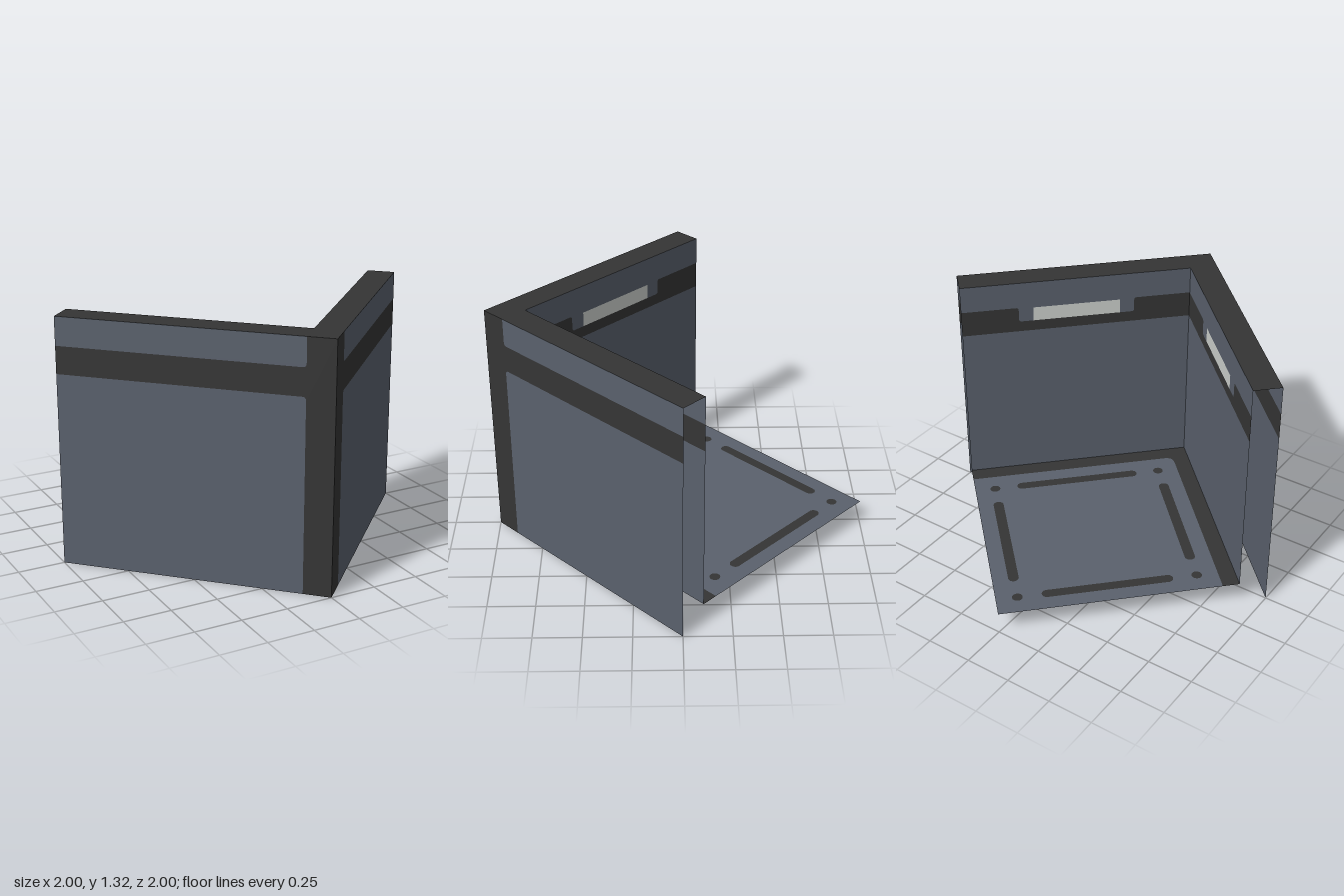
import * as THREE from 'three';

const material = (name, color) =>
  new THREE.MeshStandardMaterial({ name, color, side: THREE.DoubleSide });

const L = Math.SQRT2;   // outer wall length
const T = 0.148;        // wall thickness
const H = 1.315;        // wall height
const FLOOR_Y = 0.12;
const F = L - T;        // floor side
const Q = Math.PI / 4;

// Polygon outline from [x, y, cornerRadius] points
function roundedShape(points, flip = 1) {
  const shape = new THREE.Shape();
  const n = points.length;
  const at = (i) => new THREE.Vector2(points[(i + n) % n][0] * flip, points[(i + n) % n][1]);
  for (let i = 0; i < n; i++) {
    const p = at(i), r = points[i][2] || 0;
    const a = at(i - 1).sub(p).setLength(r).add(p);
    const b = at(i + 1).sub(p).setLength(r).add(p);
    if (i === 0) shape.moveTo(a.x, a.y);
    else shape.lineTo(a.x, a.y);
    if (r) shape.quadraticCurveTo(p.x, p.y, b.x, b.y);
  }
  shape.closePath();
  return shape;
}

const rect = (x0, y0, x1, y1) => [[x0, y0], [x1, y0], [x1, y1], [x0, y1]];

// Round-ended slot; equal ends give a disc
function slotShape(x, y, halfX, halfY, r) {
  const s = new THREE.Shape();
  if (halfX) {
    s.absarc(x + halfX, y, r, -Math.PI / 2, Math.PI / 2, false);
    s.absarc(x - halfX, y, r, Math.PI / 2, Math.PI * 1.5, false);
  } else {
    s.absarc(x, y + halfY, r, 0, Math.PI, false);
    s.absarc(x, y - halfY, r, Math.PI, Math.PI * 2, false);
  }
  s.closePath();
  return s;
}

function addSheet(group, name, shape, mat) {
  const mesh = new THREE.Mesh(new THREE.ShapeGeometry(shape, 10), mat);
  mesh.name = name;
  group.add(mesh);
  return mesh;
}

export function createModel() {
  const slate = material('slate', 0x5a616d);
  const charcoal = material('charcoal', 0x353535);
  const pale = material('pale grey', 0xcdd1cd);
  const model = new THREE.Group();
  model.name = 'cornerWallTile';

  // Stripe levels, corner band width and fillet radius
  const lo = 1.02, hi = 1.165, band = 0.145, r = 0.02;

  for (const side of [1, -1]) {
    const wall = new THREE.Group();
    wall.name = side > 0 ? 'leftWall' : 'rightWall';
    wall.position.z = 1;
    wall.rotation.y = side * Q;
    model.add(wall);

    // Outer sheet: dark corner band and stripe between two panels
    const outer = (name, pts, mat) => addSheet(wall, name, roundedShape(pts, side), mat);
    outer('outerBand', [[0, 0], [band, 0], [band, lo, r], [L, lo], [L, hi],
      [band, hi, r], [band, H], [0, H]], charcoal);
    outer('outerLowerPanel', [[band, 0], [L, 0], [L, lo], [band, lo, r]], slate);
    outer('outerUpperPanel', [[band, hi, r], [L, hi], [L, H], [band, H]], slate);

    // Inner sheet: notched stripe with a light strip
    const inner = (name, pts, mat) => {
      addSheet(wall, name, roundedShape(pts, side), mat).position.z = -T;
    };
    const m = (T + L) / 2, notch = 0.32, lamp = 0.24, dip = 1.08, q = 0.015;
    inner('innerLowerPanel', rect(T, FLOOR_Y, L, lo), slate);
    inner('innerStripe', [[T, lo], [L, lo], [L, hi], [m + notch, hi, q], [m + notch, dip, q],
      [m - notch, dip, q], [m - notch, hi, q], [T, hi]], charcoal);
    inner('lightStrip', rect(m - lamp, dip, m + lamp, hi - 0.005), pale);
    inner('innerUpperPanel', [[T, hi], [m - notch, hi, q], [m - notch, dip, q], [m - lamp, dip],
      [m - lamp, hi - 0.005], [m + lamp, hi - 0.005], [m + lamp, dip], [m + notch, dip, q],
      [m + notch, hi, q], [L, hi], [L, H], [T, H]], slate);
  }

  // Cap joining inner and outer sheets along the top
  const d = T / L, k = T * L;
  const cap = addSheet(model, 'wallCap', roundedShape([[0, -1], [1, 0], [1 - d, d],
    [0, k - 1], [d - 1, d], [-1, 0]]), charcoal);
  cap.rotation.x = -Math.PI / 2;
  cap.position.y = H;

  // Floor, drawn from the inner corner of the walls
  const floor = new THREE.Group();
  floor.name = 'floor';
  floor.rotation.set(-Math.PI / 2, 0, Q);
  floor.position.set(0, FLOOR_Y, 1 - k);
  model.add(floor);

  const edge = 0.09;
  const plate = roundedShape([[edge, edge, 0.05], [F, edge], [F, F], [edge, F]]);
  const c = (F + edge) / 2, off = 0.475;
  const marks = [];
  for (const s of [1, -1]) {
    marks.push(['floorSlot', slotShape(c + s * off, c, 0, 0.32, 0.028)]);
    marks.push(['floorSlot', slotShape(c, c + s * off, 0.32, 0, 0.028)]);
    for (const t of [1, -1]) {
      marks.push(['floorDot', slotShape(c + s * off, c + t * off, 0, 0, 0.028)]);
    }
  }
  for (const [name, shape] of marks) {
    plate.holes.push(new THREE.Path(shape.getPoints(10)));
    addSheet(floor, name, shape, charcoal);
  }
  addSheet(floor, 'floorPlate', plate, slate);
  addSheet(floor, 'floorBorder', roundedShape([[0, 0], [F, 0], [F, edge], [edge, edge, 0.05],
    [edge, F], [0, F]]), charcoal);

  return model;
}
